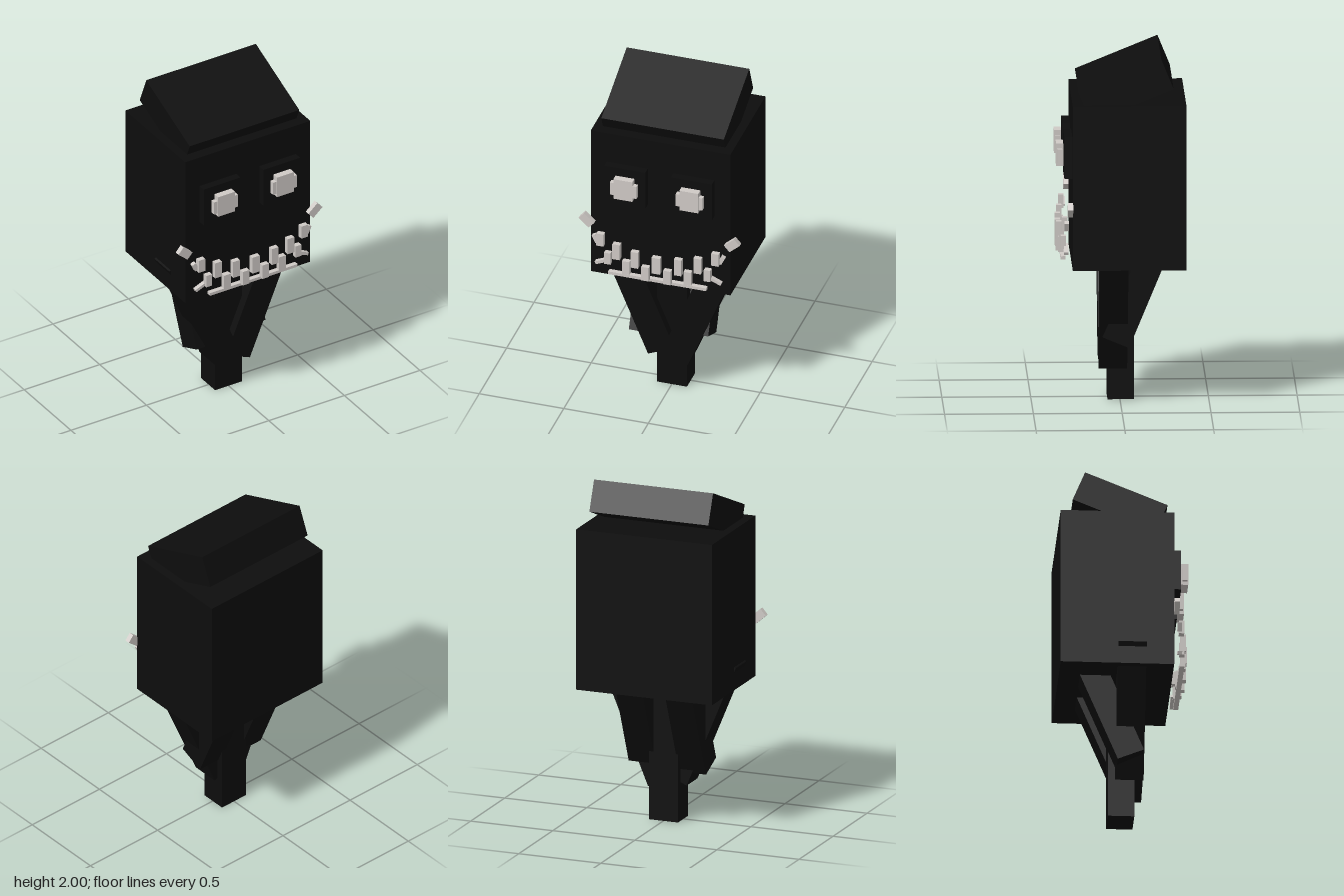
import * as THREE from 'three';

export function createModel() {
  const model = new THREE.Group();
  model.name = 'blockCreature';
  const black = new THREE.MeshStandardMaterial({ color: 0x0d0d0d });
  black.name = 'black';
  const bone = new THREE.MeshStandardMaterial({ color: 0xcfcac6 });
  bone.name = 'bone';

  // Box from its size, centre and tilt
  function box(name, material, size, centre, rx = 0, rz = 0) {
    const mesh = new THREE.Mesh(new THREE.BoxGeometry(...size), material);
    mesh.name = name;
    mesh.position.set(...centre);
    mesh.rotation.set(rx, 0, rz);
    model.add(mesh);
    return mesh;
  }

  // Head and the tilted slab on top
  box('head', black, [0.826, 0.94, 0.64], [0, 1.27, -0.045]);
  box('topSlab', black, [0.725, 0.184, 0.502], [0, 1.82, -0.027], 0.388);

  // Central column
  box('column', black, [0.178, 0.9, 0.15], [0, 0.45, -0.005]);

  // Side roots lean in; outer bottom corner (x, y) fixes each one
  const tilt = 0.393, c = Math.cos(tilt), s = Math.sin(tilt);
  const rootLength = 0.78, rootWidth = 0.17;
  for (const [side, x, y] of [[-1, 0.125, 0.21], [1, 0.11, 0.18]]) {
    const cx = x - c * rootWidth / 2 + s * rootLength / 2;
    const cy = y + s * rootWidth / 2 + c * rootLength / 2;
    box('sideRoot', black, [rootWidth, rootLength, 0.16], [side * cx, cy, 0.04], 0, -side * tilt);
  }

  // Back roots lean forward on their way down
  for (const [x, y] of [[-0.158, 0.285], [0.143, 0.32]]) {
    const z = -0.245 + 0.4125 * (0.8 - y);
    const depth = 0.16, length = 0.65;
    box('backRoot', black, [0.164, length, depth],
      [x, y + s * depth / 2 + c * length / 2, z + c * depth / 2 - s * length / 2], -tilt);
  }

  for (const side of [-1, 1]) {
    // Eye sockets and stepped eyes
    box('eyeSocket', black, [0.242, 0.24, 0.055], [side * 0.197, 1.43, 0.2925]);
    box('eye', bone, [0.112, 0.13, 0.04], [side * 0.195, 1.435, 0.344]);
    box('eyeSides', bone, [0.158, 0.08, 0.028], [side * 0.195, 1.43, 0.344]);

    // Mouth corners: cheek peg, small slanted pegs
    box('cheekPeg', bone, [0.08, 0.05, 0.03], [side * 0.43, 1.152, 0.289], 0, side * 0.72);
    box('upperCornerPeg', bone, [0.025, 0.05, 0.025], [side * 0.372, 1.05, 0.308], 0, -side * 0.45);
    box('lowerCornerPeg', bone, [0.095, 0.018, 0.025], [side * 0.328, 0.91, 0.31], 0, -side * 0.4);

    // Paired teeth: x, y, width, height, z
    const teeth = [
      [0.34, 1.057, 0.043, 0.08, 0.32], [0.24, 1.005, 0.044, 0.1, 0.335],
      [0.128, 0.98, 0.044, 0.105, 0.347], [0.295, 0.945, 0.038, 0.075, 0.325],
      [0.182, 0.912, 0.044, 0.085, 0.337], [0.065, 0.9, 0.044, 0.09, 0.347],
    ];
    for (const [x, y, w, h, z] of teeth) box('tooth', bone, [w, h, 0.03], [side * x, y, z]);
  }
  box('middleTooth', bone, [0.05, 0.105, 0.03], [0, 0.968, 0.35]);

  // Lip bar below the teeth
  box('lipBar', bone, [0.58, 0.018, 0.028], [0, 0.852, 0.326]);
  return model;
}
